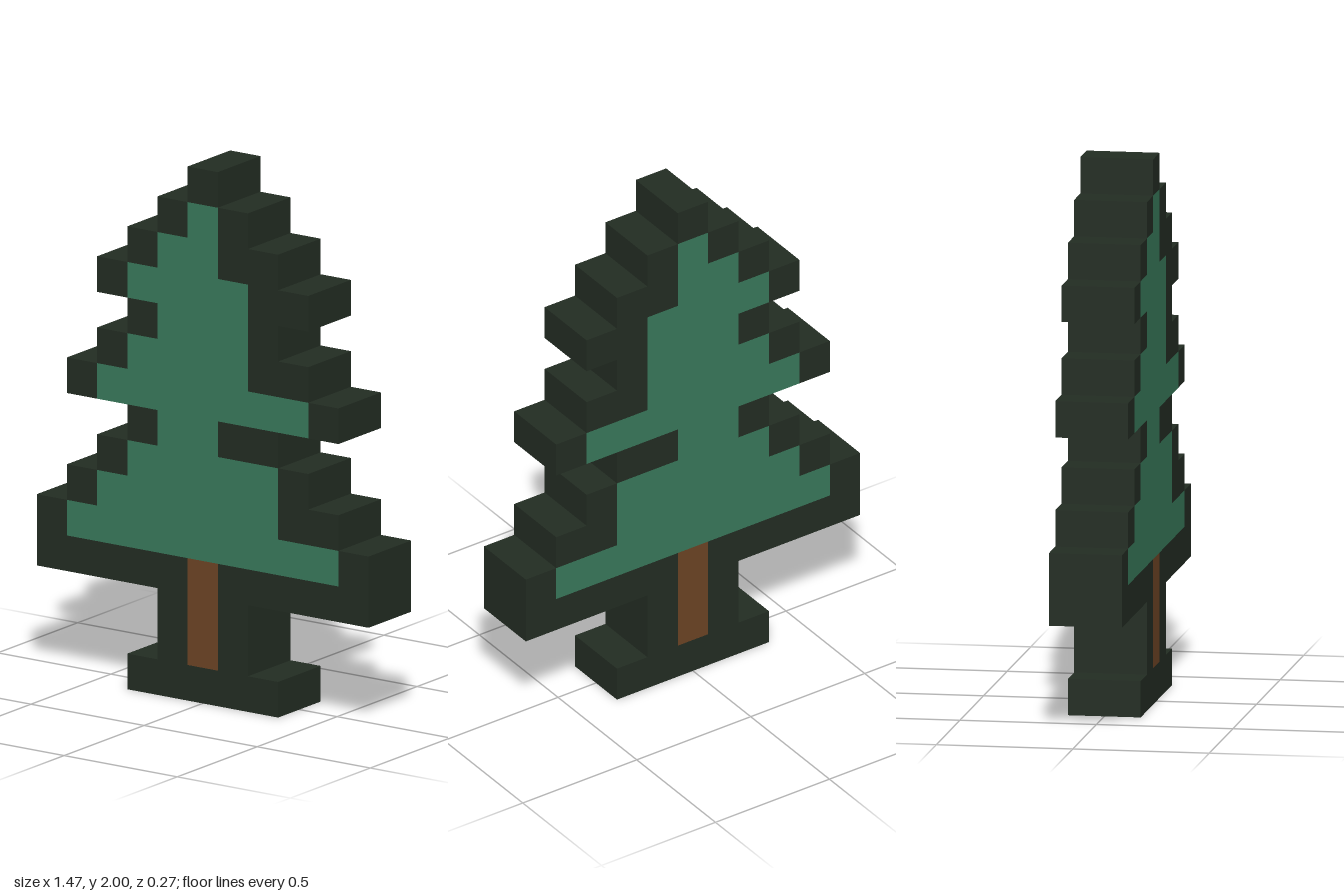
import * as THREE from 'three';
import { mergeGeometries } from 'three/addons/utils/BufferGeometryUtils.js';

// Pixel pattern, top row first: D = dark outline, G = foliage, T = trunk
const ROWS = [
  '.....D.....',
  '....DGD....',
  '...DGGDD...',
  '..DGGGGDD..',
  '...DGGGD...',
  '..DGGGGDD..',
  '.DGGGGGGGD.',
  '...DGGDD...',
  '..DGGGGGD..',
  '.DGGGGGGDD.',
  'DGGGGGGGGGD',
  'DDDDDTDDDDD',
  '....DTD....',
  '....DTD....',
  '...DDDDD...',
];
const CELL = 2 / 15;
const DEPTH = 2 * CELL;

const cellAt = (row, col) => ROWS[row]?.[col] ?? '.';

// Outer faces of one block; sides touching a neighbour are left out
function blockFaces(row, col) {
  const x = (col - 5) * CELL;
  const y = (14.5 - row) * CELL;
  const half = CELL / 2;
  const faces = [
    new THREE.PlaneGeometry(CELL, CELL).translate(0, 0, DEPTH / 2),
    new THREE.PlaneGeometry(CELL, CELL).rotateY(Math.PI).translate(0, 0, -DEPTH / 2),
  ];
  for (const side of [-1, 1]) {
    if (cellAt(row, col + side) === '.') {
      faces.push(new THREE.PlaneGeometry(DEPTH, CELL).rotateY(side * Math.PI / 2).translate(side * half, 0, 0));
    }
    if (cellAt(row - side, col) === '.') {
      faces.push(new THREE.PlaneGeometry(CELL, DEPTH).rotateX(-side * Math.PI / 2).translate(0, side * half, 0));
    }
  }
  return faces.map((face) => face.translate(x, y, 0));
}

// One mesh for all blocks of a colour
function buildPart(name, key, material) {
  const faces = [];
  ROWS.forEach((line, row) => [...line].forEach((cell, col) => {
    if (cell === key) faces.push(...blockFaces(row, col));
  }));
  const mesh = new THREE.Mesh(mergeGeometries(faces), material);
  mesh.name = name;
  return mesh;
}

function makeMaterial(name, color) {
  const material = new THREE.MeshStandardMaterial({ color });
  material.name = name;
  return material;
}

export function createModel() {
  const tree = new THREE.Group();
  tree.name = 'pixelTree';
  tree.add(
    buildPart('outline', 'D', makeMaterial('dark outline', 0x222c22)),
    buildPart('foliage', 'G', makeMaterial('pine green', 0x38785a)),
    buildPart('trunk', 'T', makeMaterial('bark brown', 0x6c4324)),
  );
  return tree;
}
